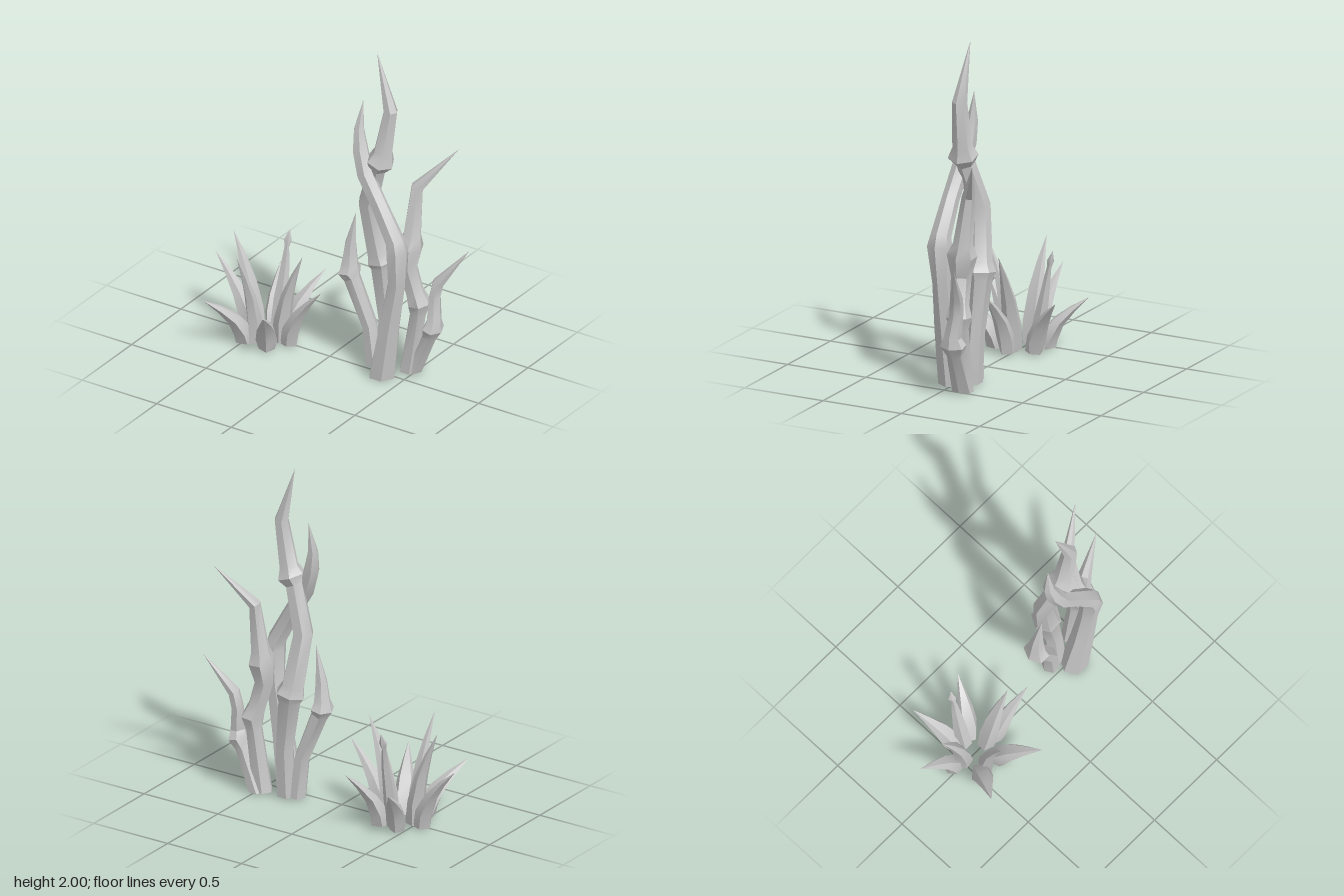
import * as THREE from 'three';
import { toCreasedNormals } from 'three/addons/utils/BufferGeometryUtils.js';

const stone = new THREE.MeshStandardMaterial({ color: 0xc8c8c8 });
stone.name = 'plain grey';

// Loft along stations [x, y, z, halfWidth, halfDepth]; width runs along the side vector.
function loft(name, stations, side, sides, phase = 0) {
  const pts = stations.map(s => new THREE.Vector3(s[0], s[1], s[2]));
  const pos = [], idx = [];
  pts.forEach((p, i) => {
    const t = new THREE.Vector3(0, 1, 0);
    if (i > 0) {
      t.subVectors(p, pts[i - 1]).normalize();
      if (i < pts.length - 1) t.add(pts[i + 1].clone().sub(p).normalize()).normalize();
    }
    const u = side.clone().addScaledVector(t, -side.dot(t)).normalize();
    const v = t.clone().cross(u);
    const w = stations[i][3], d = stations[i][4] ?? w;
    for (let j = 0; j < sides; j++) {
      const a = phase + (j / sides) * Math.PI * 2;
      const q = p.clone().addScaledVector(u, Math.cos(a) * w).addScaledVector(v, Math.sin(a) * d);
      pos.push(q.x, q.y, q.z);
    }
  });
  for (let i = 0; i < pts.length - 1; i++) {
    for (let j = 0; j < sides; j++) {
      const a = i * sides + j, b = i * sides + (j + 1) % sides;
      idx.push(a, b, b + sides);
      if (i < pts.length - 2) idx.push(a, b + sides, a + sides);
    }
  }
  for (let j = 1; j < sides - 1; j++) idx.push(0, j + 1, j); // base cap
  const geo = new THREE.BufferGeometry();
  geo.setAttribute('position', new THREE.Float32BufferAttribute(pos, 3));
  geo.setIndex(idx);
  const mesh = new THREE.Mesh(toCreasedNormals(geo, 0.45), stone);
  mesh.name = name;
  return mesh;
}

// Knuckled stalks of the tall plant
const stalks = {
  tallStalk: [
    [0.32, 0.01, -0.08, 0.06], [0.32, 0.3, -0.1, 0.055], [0.28, 0.61, -0.11, 0.07],
    [0.275, 0.65, -0.11, 0.088], [0.262, 0.7, -0.1, 0.07], [0.215, 1.02, -0.07, 0.062],
    [0.3, 1.28, -0.03, 0.054], [0.325, 1.33, -0.025, 0.09, 0.08], [0.34, 1.39, -0.03, 0.058],
    [0.385, 1.66, -0.035, 0.043], [0.285, 2, -0.05, 0],
  ],
  frontStalk: [
    [0.365, 0, 0.02, 0.082, 0.08], [0.42, 0.33, 0.03, 0.068, 0.062], [0.47, 0.62, 0.03, 0.055],
    [0.48, 0.83, 0.04, 0.075, 0.06], [0.465, 0.89, 0.04, 0.06, 0.056], [0.36, 1.08, 0.035, 0.05],
    [0.255, 1.25, 0.025, 0.05], [0.21, 1.38, 0.005, 0.048], [0.19, 1.5, -0.01, 0.032],
    [0.205, 1.68, -0.03, 0],
  ],
  leftLowStalk: [
    [0.26, 0.01, -0.06, 0.055, 0.052], [0.235, 0.25, -0.05, 0.05, 0.045],
    [0.13, 0.53, -0.03, 0.052], [0.112, 0.57, -0.03, 0.08, 0.063], [0.115, 0.62, -0.03, 0.05],
    [0.12, 0.74, -0.03, 0.035], [0.155, 0.95, -0.03, 0],
  ],
  backStalk: [
    [0.47, 0.01, -0.1, 0.06], [0.52, 0.38, -0.11, 0.05], [0.53, 0.45, -0.11, 0.075, 0.066],
    [0.505, 0.52, -0.1, 0.055], [0.465, 0.67, -0.09, 0.058], [0.475, 0.8, -0.1, 0.09, 0.075],
    [0.48, 0.87, -0.11, 0.058, 0.055], [0.49, 1.16, -0.15, 0.038], [0.685, 1.4, -0.28, 0],
  ],
  rightLowStalk: [
    [0.49, 0.01, -0.115, 0.065, 0.05], [0.59, 0.25, -0.12, 0.05, 0.042],
    [0.615, 0.31, -0.12, 0.08, 0.055], [0.622, 0.36, -0.12, 0.052, 0.042],
    [0.612, 0.5, -0.14, 0.04, 0.035], [0.63, 0.59, -0.15, 0.038, 0.035],
    [0.793, 0.81, -0.22, 0],
  ],
};

// Blades of the low tuft: tip x, y, z, base radius, half width, half depth
const CX = -0.41;
const blades = [
  [-0.8, 0.41, -0.05, 0.14, 0.055, 0.06], [-0.03, 0.41, 0.04, 0.14, 0.055, 0.06],
  [-0.66, 0.6, -0.02, 0.085, 0.06, 0.055], [-0.17, 0.59, 0.02, 0.085, 0.06, 0.055],
  [-0.46, 0.6, 0.25, 0.1, 0.042, 0.055],
  [-0.63, 0.32, 0.34, 0.13, 0.064, 0.07], [-0.22, 0.32, 0.34, 0.13, 0.064, 0.07],
  [-0.55, 0.31, -0.35, 0.125, 0.058, 0.065], [-0.23, 0.35, -0.31, 0.125, 0.058, 0.065],
];

function blade([x, y, z, base, w, d]) {
  const dir = new THREE.Vector3(x - CX, 0, z);
  const reach = dir.length();
  dir.normalize();
  // fraction of height, fraction of outward reach, width and depth factors
  const rows = [[0.02, 0, 0.75, 1], [0.25, 0.1, 1, 0.85], [0.52, 0.31, 0.84, 0.58],
    [0.76, 0.62, 0.46, 0.32], [1, 1, 0, 0]];
  const stations = rows.map(([h, o, kw, kd]) => {
    const r = base + (reach - base) * o;
    return [CX + dir.x * r, y * h, dir.z * r, w * kw, d * kd];
  });
  return loft('blade', stations, new THREE.Vector3(-dir.z, 0, dir.x), 5, Math.PI / 2);
}

export function createModel() {
  const model = new THREE.Group();
  model.name = 'thornyPlants';

  const tall = new THREE.Group();
  tall.name = 'tallPlant';
  for (const [name, stations] of Object.entries(stalks)) {
    tall.add(loft(name, stations, new THREE.Vector3(0, 0, 1), 6, Math.PI / 6));
  }

  const tuft = new THREE.Group();
  tuft.name = 'lowTuft';
  blades.forEach(b => tuft.add(blade(b)));
  // Rear shoot ending in a small bud
  tuft.add(loft('buddedShoot', [
    [-0.41, 0.01, -0.09, 0.045, 0.05], [-0.41, 0.2, -0.12, 0.042, 0.04],
    [-0.405, 0.38, -0.155, 0.028, 0.024], [-0.405, 0.5, -0.175, 0.014, 0.014],
    [-0.405, 0.54, -0.185, 0.025, 0.02], [-0.4, 0.6, -0.2, 0],
  ], new THREE.Vector3(1, 0, 0), 5, Math.PI / 2));

  model.add(tall, tuft);
  return model;
}
